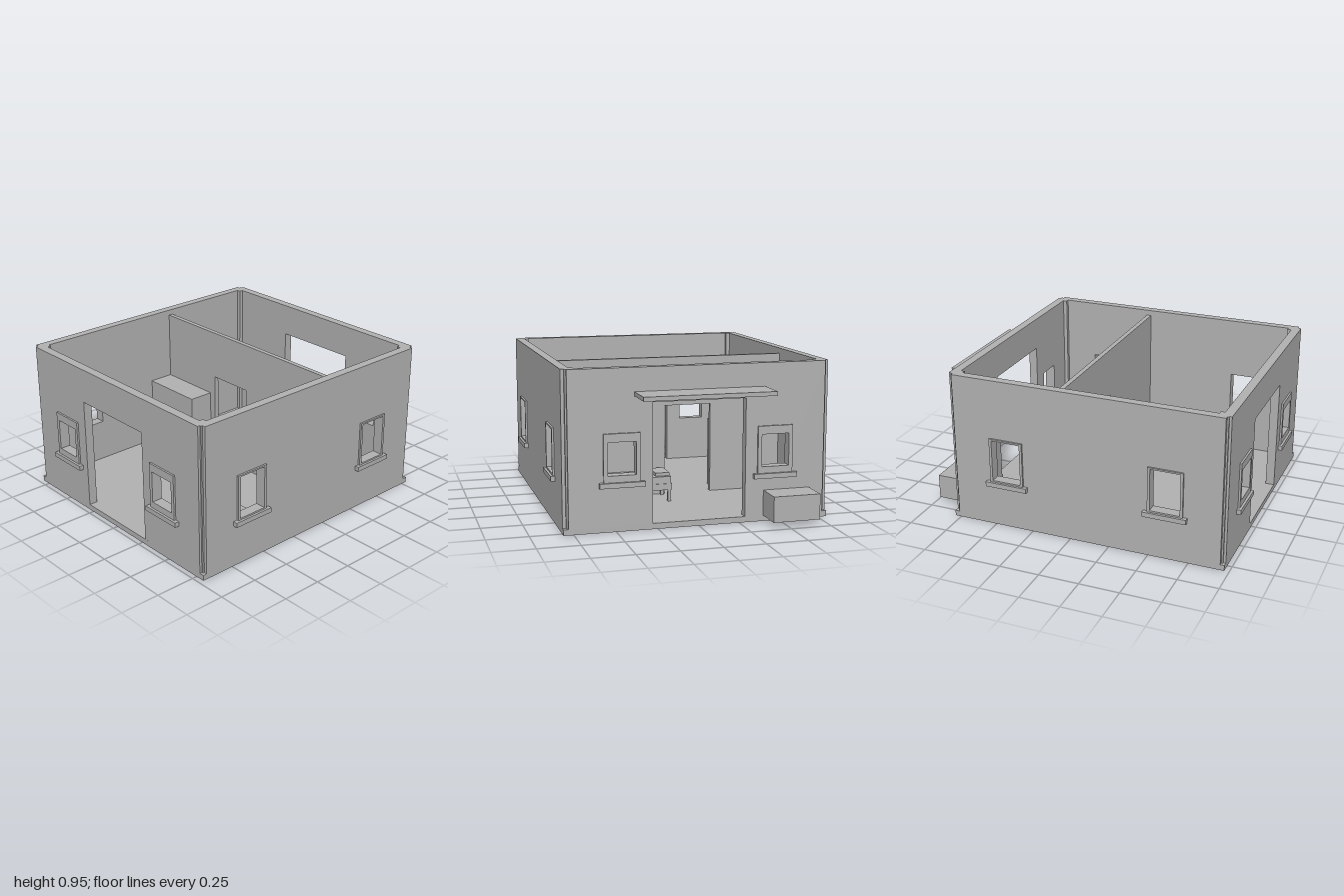
import * as THREE from 'three';

const plaster = new THREE.MeshStandardMaterial({ color: 0xb2b2b2 });
plaster.name = 'grey plaster';

const FLOOR = 0.035, TOP = 0.955, THICK = 0.055;

function add(parent, name, geometry) {
  const mesh = new THREE.Mesh(geometry, plaster);
  mesh.name = name;
  parent.add(mesh);
  return mesh;
}

// Box given by its limits on each axis
function box(parent, name, x0, x1, y0, y1, z0, z1) {
  const mesh = add(parent, name, new THREE.BoxGeometry(x1 - x0, y1 - y0, z1 - z0));
  mesh.position.set((x0 + x1) / 2, (y0 + y1) / 2, (z0 + z1) / 2);
  return mesh;
}

function rectHole(x0, x1, y0, y1) {
  return new THREE.Path([
    new THREE.Vector2(x0, y0), new THREE.Vector2(x0, y1),
    new THREE.Vector2(x1, y1), new THREE.Vector2(x1, y0),
  ]);
}

// Upright panel with an optional doorway and any number of window holes
function panel(u0, u1, top, depth, door, holes) {
  const pts = [[u0, FLOOR]];
  if (door) pts.push([door[0], FLOOR], [door[0], door[2]], [door[1], door[2]], [door[1], FLOOR]);
  pts.push([u1, FLOOR], [u1, top], [u0, top]);
  const shape = new THREE.Shape(pts.map(([x, y]) => new THREE.Vector2(x, y)));
  holes.forEach((h) => shape.holes.push(rectHole(...h)));
  return new THREE.ExtrudeGeometry(shape, { depth, bevelEnabled: false });
}

const endHole = { w: 0.085, y0: 0.335, y1: 0.53 };
const sideHole = { w: 0.0925, y0: 0.305, y1: 0.57 };
const holeAt = (c, h) => [c - h.w, c + h.w, h.y0, h.y1];

// Raised surround and sill, facing +z before turning
function windowTrim(parent, x, z, turn, hole) {
  const group = new THREE.Group();
  group.name = 'window';
  const shape = new THREE.Shape([
    new THREE.Vector2(-0.109, 0.295), new THREE.Vector2(0.109, 0.295),
    new THREE.Vector2(0.109, 0.58), new THREE.Vector2(-0.109, 0.58),
  ]);
  shape.holes.push(rectHole(...holeAt(0, hole)));
  add(group, 'windowFrame', new THREE.ExtrudeGeometry(shape, { depth: 0.012, bevelEnabled: false }));
  box(group, 'windowSill', -0.135, 0.135, 0.265, 0.295, 0, 0.027);
  group.position.set(x, 0, z);
  group.rotation.y = turn;
  parent.add(group);
}

export function createModel() {
  const house = new THREE.Group();
  house.name = 'house';

  box(house, 'floorSlab', -0.81, 0.81, 0, FLOOR, -0.79, 0.97);

  // Front and back walls, each with a doorway and two windows
  const endXs = [-0.468, 0.466];
  const endHoles = endXs.map((x) => holeAt(x, endHole));
  add(house, 'frontWall', panel(-0.78, 0.78, TOP, THICK, [-0.285, 0.28, 0.74], endHoles))
    .position.z = 0.915;
  add(house, 'backWall', panel(-0.78, 0.78, TOP, THICK, [-0.285, 0.28, 0.75], endHoles))
    .position.z = -0.79;
  endXs.forEach((x) => {
    windowTrim(house, x, 0.97, 0, endHole);
    windowTrim(house, x, -0.79, Math.PI, endHole);
  });

  // Side walls with two windows each
  const sideZs = [-0.413, 0.604];
  for (const side of [-1, 1]) {
    const wall = panel(-0.76, 0.945, TOP, THICK, null, sideZs.map((z) => holeAt(z, sideHole)));
    wall.rotateY(-Math.PI / 2);
    add(house, side > 0 ? 'leftWall' : 'rightWall', wall).position.x = side > 0 ? 0.81 : -0.755;
    sideZs.forEach((z) => windowTrim(house, side * 0.81, z, side * Math.PI / 2, sideHole));

    // Corner posts set in the notches between walls
    const [x0, x1] = side > 0 ? [0.73, 0.79] : [-0.79, -0.73];
    box(house, 'cornerPost', x0, x1, FLOOR, TOP, 0.89, 0.955);
    box(house, 'cornerPost', x0, x1, FLOOR, TOP, -0.775, -0.71);
  }

  // Partition between the two rooms
  add(house, 'partition', panel(-0.76, 0.76, 0.92, 0.03, [-0.285, 0.02, 0.61], []))
    .position.z = -0.11;

  // Canopy and crate behind the building
  box(house, 'canopy', -0.4, 0.39, 0.79, 0.815, -1, -0.79);
  box(house, 'outdoorCrate', -0.69, -0.4, FLOOR, 0.19, -0.97, -0.79);

  // Front room furniture
  box(house, 'counter', -0.76, -0.33, FLOOR, 0.48, -0.08, 0.085);
  box(house, 'chest', 0.31, 0.62, FLOOR, 0.19, 0.455, 0.64);

  // Bed in the back room
  const bed = new THREE.Group();
  bed.name = 'bed';
  box(bed, 'bedFrame', 0.03, 0.405, 0.11, 0.15, -0.32, -0.115);
  box(bed, 'mattress', 0.035, 0.4, 0.15, 0.195, -0.315, -0.12);
  box(bed, 'pillow', 0.04, 0.13, 0.195, 0.215, -0.29, -0.14);
  for (const x of [0.035, 0.38]) {
    for (const z of [-0.315, -0.14]) box(bed, 'bedLeg', x, x + 0.02, FLOOR, 0.11, z, z + 0.02);
  }
  house.add(bed);

  return house;
}
